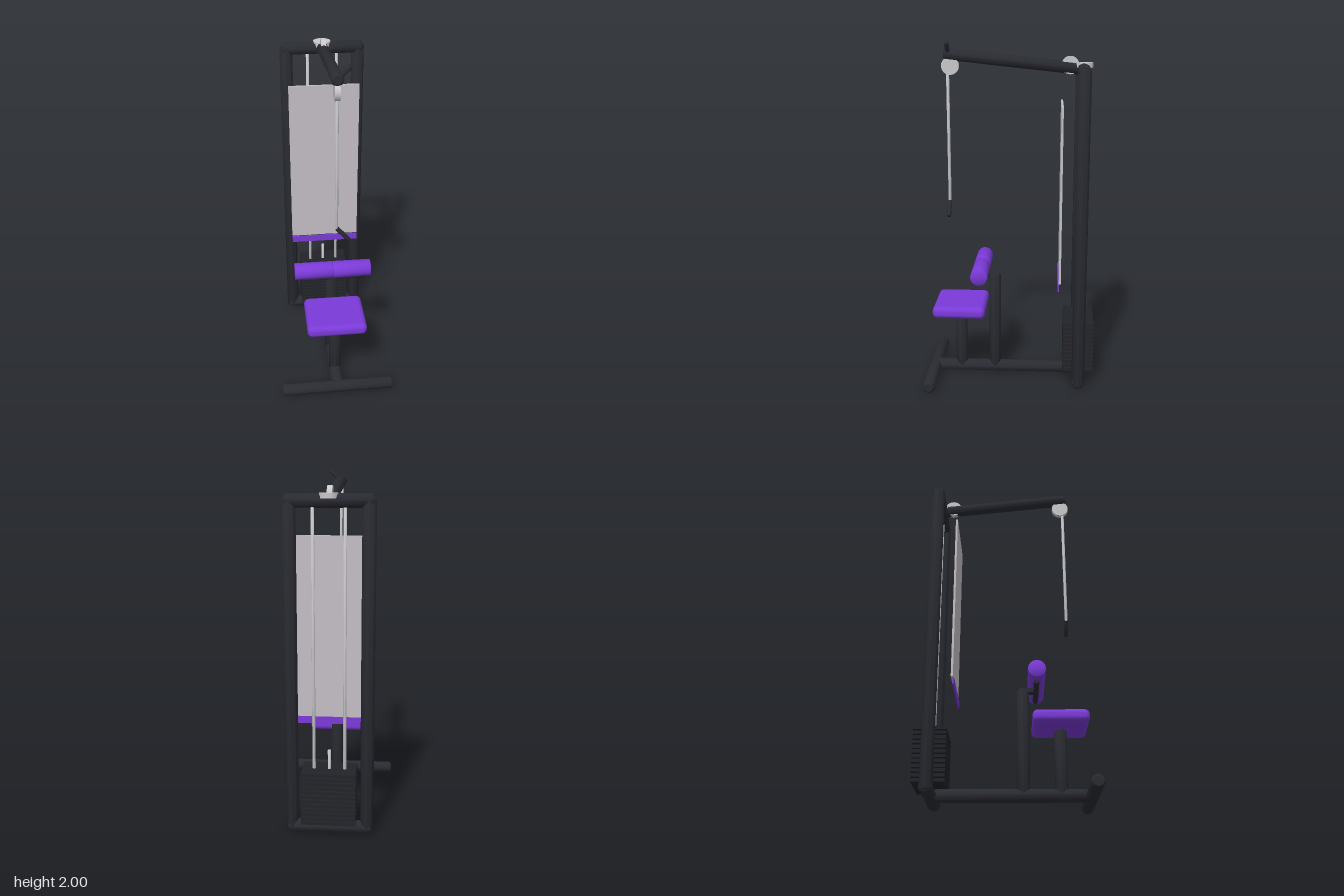
import * as THREE from 'three';
import { toCreasedNormals } from 'three/addons/utils/BufferGeometryUtils.js';
import { RoundedBoxGeometry } from 'three/addons/geometries/RoundedBoxGeometry.js';

const material = (name, color) => {
  const m = new THREE.MeshStandardMaterial({ color });
  m.name = name;
  return m;
};

export function createModel() {
  const model = new THREE.Group();
  model.name = 'latPulldownMachine';

  const frame = material('charcoal frame', 0x2a2b32);
  const iron = material('black iron', 0x222328);
  const pad = material('purple upholstery', 0x7b3ad8);
  const steel = material('silver steel', 0xc9c9cc);
  const shield = material('grey panel', 0xc3bfc6);

  const add = (name, geometry, mat, x = 0, y = 0, z = 0) => {
    const mesh = new THREE.Mesh(geometry, mat);
    mesh.name = name;
    mesh.position.set(x, y, z);
    model.add(mesh);
    return mesh;
  };

  // Bar with chamfered ends running between two points
  const bar = (name, from, to, r, mat, sides = 8, chamfer = 0.01) => {
    const a = new THREE.Vector3(...from), b = new THREE.Vector3(...to);
    const h = a.distanceTo(b) / 2;
    const profile = [[0, -h], [r - chamfer, -h], [r, chamfer - h], [r, h - chamfer], [r - chamfer, h], [0, h]]
      .map(([x, y]) => new THREE.Vector2(x, y));
    const geometry = toCreasedNormals(new THREE.LatheGeometry(profile, sides), 0.8);
    const mesh = add(name, geometry, mat);
    mesh.position.copy(a).add(b).multiplyScalar(0.5);
    mesh.quaternion.setFromUnitVectors(new THREE.Vector3(0, 1, 0), b.sub(a).normalize());
    return mesh;
  };

  // Frame
  const R = 0.037, backZ = -0.407;
  bar('frontFoot', [-0.33, R, 0.463], [0.33, R, 0.463], R, frame);
  bar('rearFoot', [-0.235, R, backZ], [0.235, R, backZ], R, frame);
  bar('baseSpine', [0, R, backZ], [0, R, 0.47], R, frame);
  bar('topBeam', [-0.235, 1.842, backZ], [0.235, 1.842, backZ], R, frame);
  for (const s of [-1, 1]) {
    bar('upright', [s * 0.209, 0.015, backZ], [s * 0.209, 1.86, backZ], R, frame);
  }
  bar('topArm', [0, 1.842, -0.43], [0, 1.928, 0.378], 0.034, frame);
  bar('seatPost', [0, 0.03, 0.3], [0, 0.405, 0.3], 0.035, frame);
  bar('kneePost', [0, 0.03, 0.095], [0, 0.64, 0.095], 0.035, frame);

  // Seat and knee rollers
  add('seat', new RoundedBoxGeometry(0.345, 0.072, 0.31, 4, 0.03), pad, 0, 0.436, 0.3);
  add('kneeBracket', new THREE.BoxGeometry(0.05, 0.025, 0.1), frame, 0, 0.63, 0.135);
  bar('kneeCrossbar', [-0.165, 0.627, 0.17], [0.165, 0.627, 0.17], 0.016, frame, 8, 0.004);
  for (const s of [-1, 1]) {
    bar('kneeRoller', [0, 0.682, 0.172], [s * 0.223, 0.682, 0.172], 0.049, pad, 24, 0.002);
  }

  // Weight stack and guide rods
  const plates = 12, pitch = 0.0257;
  for (let i = 0; i < plates; i++) {
    add('weightPlate', new THREE.BoxGeometry(0.3, 0.018, 0.18), iron, 0, 0.089 + i * pitch, backZ);
  }
  for (const s of [-1, 1]) {
    bar('guideRod', [s * 0.085, 0.04, backZ], [s * 0.085, 1.83, backZ], 0.009, steel, 12, 0.001);
  }
  bar('selectorRod', [0, 0.06, backZ], [0, 0.49, backZ], 0.009, steel, 12, 0.001);

  // Shield panel with trim strip
  add('shieldPanel', new THREE.BoxGeometry(0.415, 1.01, 0.012), shield, 0, 1.15, -0.292);
  add('shieldTrim', new THREE.BoxGeometry(0.413, 0.04, 0.009), pad, 0, 0.62, -0.284);

  // Pulleys: two upright wheels and one lying flat
  const pulley = (name, y, z, upright) => {
    const wheel = add(name, new THREE.CylinderGeometry(0.05, 0.05, 0.028, 32), steel, 0, y, z);
    if (upright) wheel.rotation.z = Math.PI / 2;
  };
  pulley('frontPulley', 1.86, 0.342, true);
  pulley('rearPulley', 1.866, -0.333, true);
  pulley('topPulley', 1.867, -0.41, false);

  // Cable and angled handles
  bar('cable', [0, 1.07, 0.357], [0, 1.87, 0.357], 0.009, steel, 12, 0.001);
  bar('lowerHandle', [0, 1.08, 0.357], [0.067, 1.003, 0.357], 0.0125, frame, 10, 0.002);
  bar('upperHandle', [0, 1.92, 0.353], [0.067, 1.99, 0.353], 0.0125, frame, 10, 0.002);

  return model;
}
